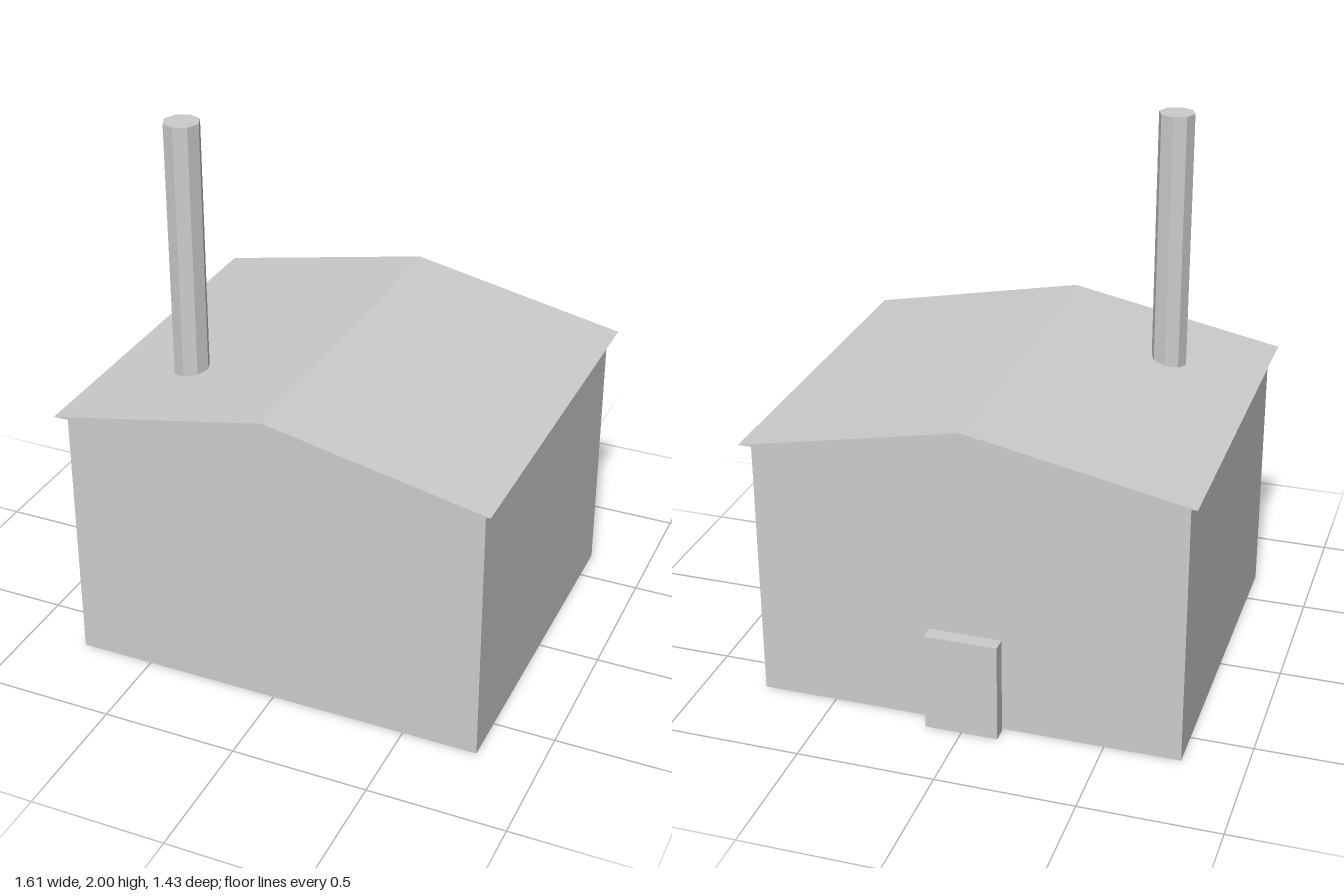
import * as THREE from 'three';

export function createModel() {
  const group = new THREE.Group();
  const gray = new THREE.MeshStandardMaterial({ color: 0xcccccc });
  gray.name = 'plain gray';

  const add = (name, geometry, x, y, z) => {
    const mesh = new THREE.Mesh(geometry, gray);
    mesh.name = name;
    mesh.position.set(x, y, z);
    group.add(mesh);
  };

  const wallTop = 0.995;

  // Main body
  add('walls', new THREE.BoxGeometry(1.55, wallTop, 1.32), 0, wallTop / 2, 0.015);

  // Shallow gable roof, overhanging on every side
  const gable = new THREE.Shape([
    new THREE.Vector2(-0.805, 0),
    new THREE.Vector2(0.805, 0),
    new THREE.Vector2(0, 0.16),
  ]);
  add('roof', new THREE.ExtrudeGeometry(gable, { depth: 1.4, bevelEnabled: false }), 0, wallTop, -0.685);

  // Eight-sided chimney, flat shaded
  const bottom = 1.0, top = 2.0;
  const pipe = new THREE.CylinderGeometry(0.065, 0.065, top - bottom, 8).toNonIndexed();
  pipe.computeVertexNormals();
  add('chimney', pipe, -0.467, (top + bottom) / 2, 0.322);

  // Door slab standing just clear of the back wall
  add('door', new THREE.BoxGeometry(0.265, 0.37, 0.055), 0, 0.185, -0.685);

  return group;
}
